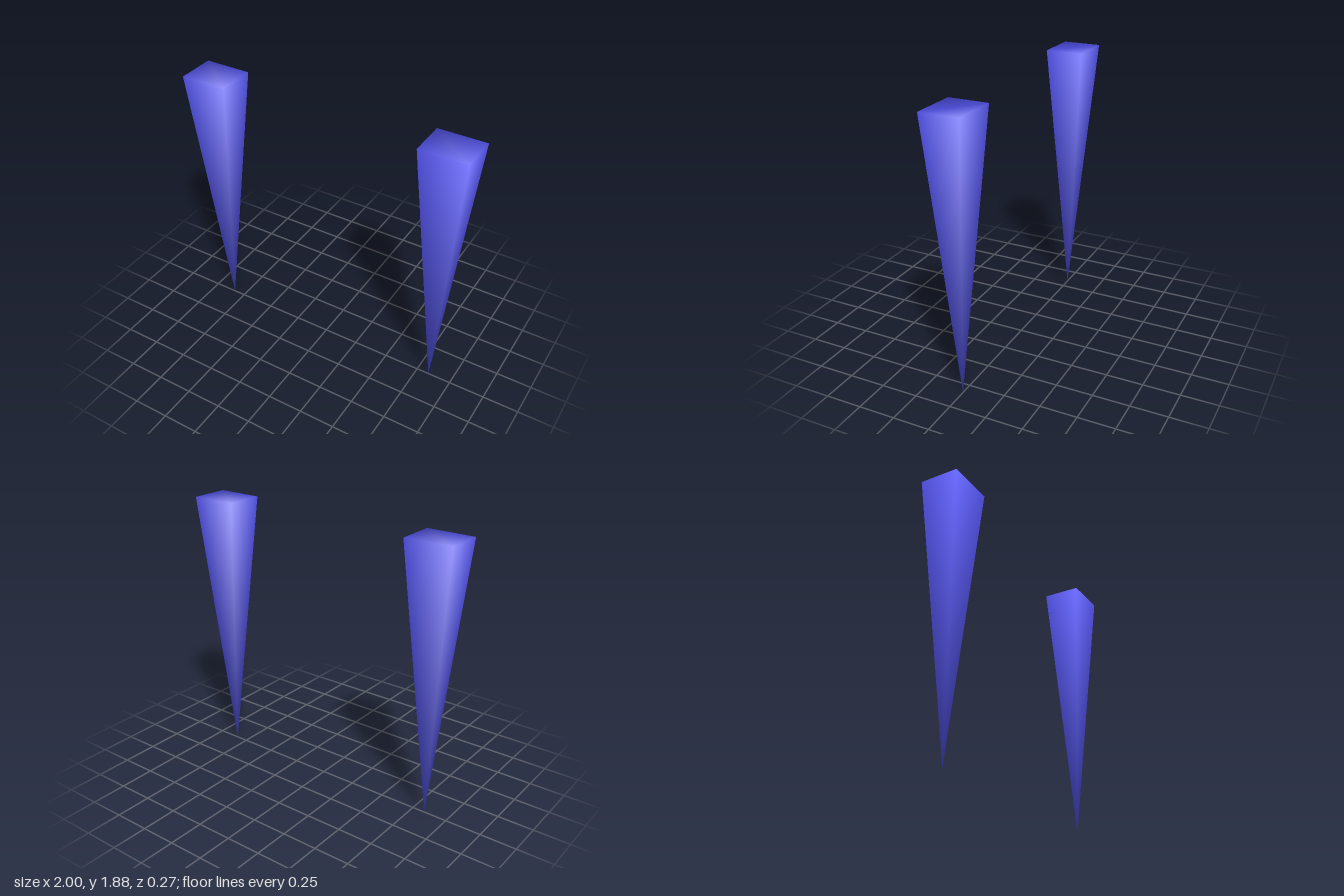
import * as THREE from 'three';

const HEIGHT = 1.88, HALF_X = 0.163, HALF_Z = 0.133, OFFSET = 0.837;

// Upside-down four-sided pyramid, shaded smoothly over every edge
function spikeGeometry() {
  const corners = [[-1, -1], [1, -1], [1, 1], [-1, 1]];
  const positions = [0, 0, 0], normals = [0, -1, 0];
  const index = [1, 4, 3, 1, 3, 2]; // flat top
  corners.forEach(([sx, sz], i) => {
    positions.push(sx * HALF_X, HEIGHT, sz * HALF_Z);
    // mean of the top and the two sides meeting at the corner
    normals.push(...new THREE.Vector3(sx, 0.85, sz).normalize().toArray());
    index.push(0, i + 1, (i + 1) % 4 + 1); // side
  });
  const geometry = new THREE.BufferGeometry();
  geometry.setAttribute('position', new THREE.Float32BufferAttribute(positions, 3));
  geometry.setAttribute('normal', new THREE.Float32BufferAttribute(normals, 3));
  geometry.setIndex(index);
  return geometry;
}

export function createModel() {
  const model = new THREE.Group();
  model.name = 'spikePair';
  const geometry = spikeGeometry();
  const blue = new THREE.MeshStandardMaterial({ color: 0x5555f5 });

  // Two matching spikes, point down
  for (const [name, side] of [['leftSpike', 1], ['rightSpike', -1]]) {
    const spike = new THREE.Mesh(geometry, blue);
    spike.name = name;
    spike.position.x = side * OFFSET;
    model.add(spike);
  }
  return model;
}
